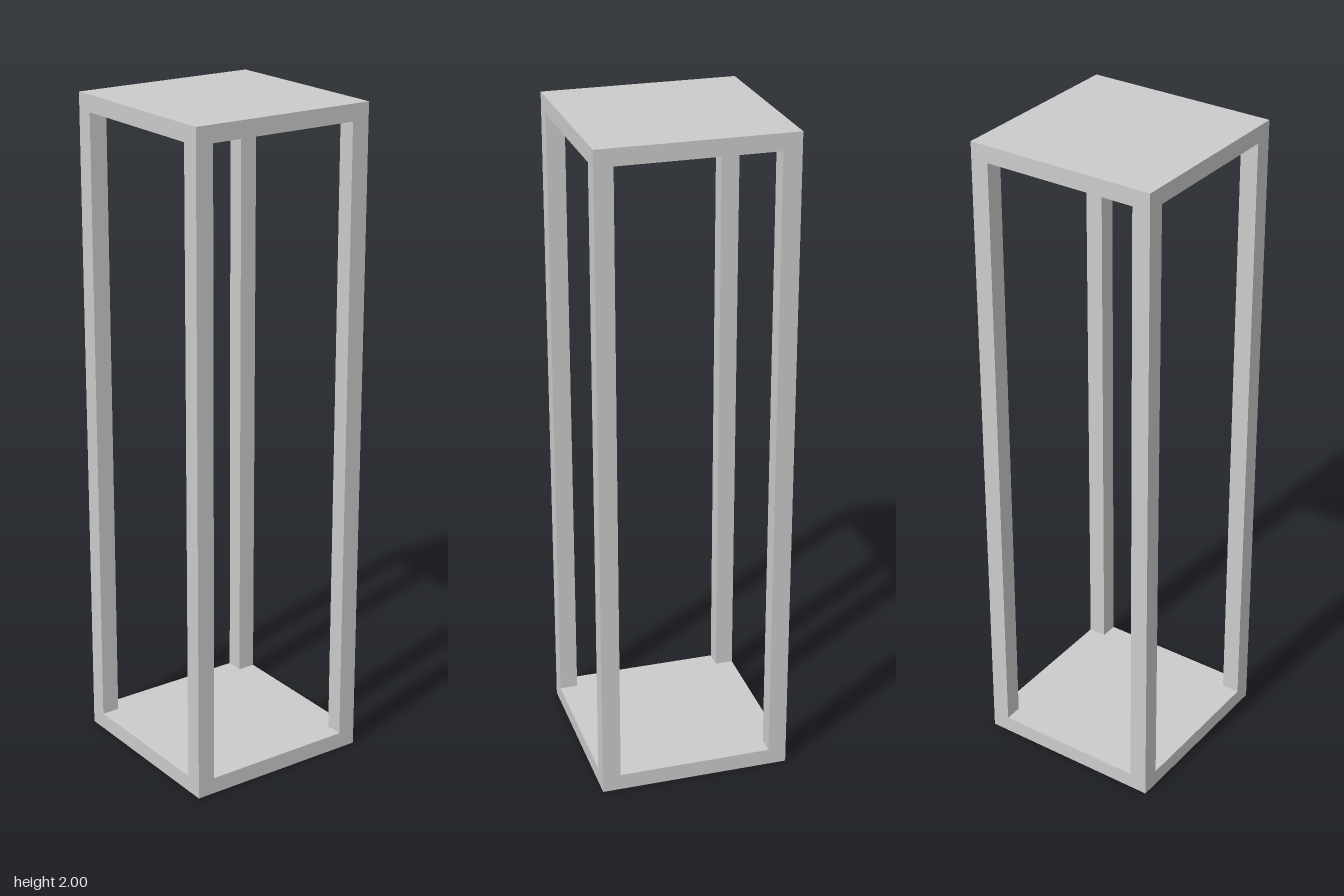
import * as THREE from 'three';

export function createModel() {
  const model = new THREE.Group();
  model.name = 'openFrameStand';
  const material = new THREE.MeshStandardMaterial({ color: 0xcccccc, flatShading: true });
  const width = 0.58, height = 2, slab = 0.05, post = 0.055;

  const addBox = (name, w, h, d, x, y, z) => {
    const mesh = new THREE.Mesh(new THREE.BoxGeometry(w, h, d), material);
    mesh.name = name;
    mesh.position.set(x, y, z);
    model.add(mesh);
  };

  // Square base and top slabs
  addBox('baseSlab', width, slab, width, 0, slab / 2, 0);
  addBox('topSlab', width, slab, width, 0, height - slab / 2, 0);

  // Four corner posts, flush with the slab edges
  const offset = (width - post) / 2;
  for (const [side, sx] of [['Left', 1], ['Right', -1]]) {
    for (const [end, sz] of [['front', 1], ['back', -1]]) {
      addBox(`${end}${side}Post`, post, height - 2 * slab, post, sx * offset, height / 2, sz * offset);
    }
  }
  return model;
}
